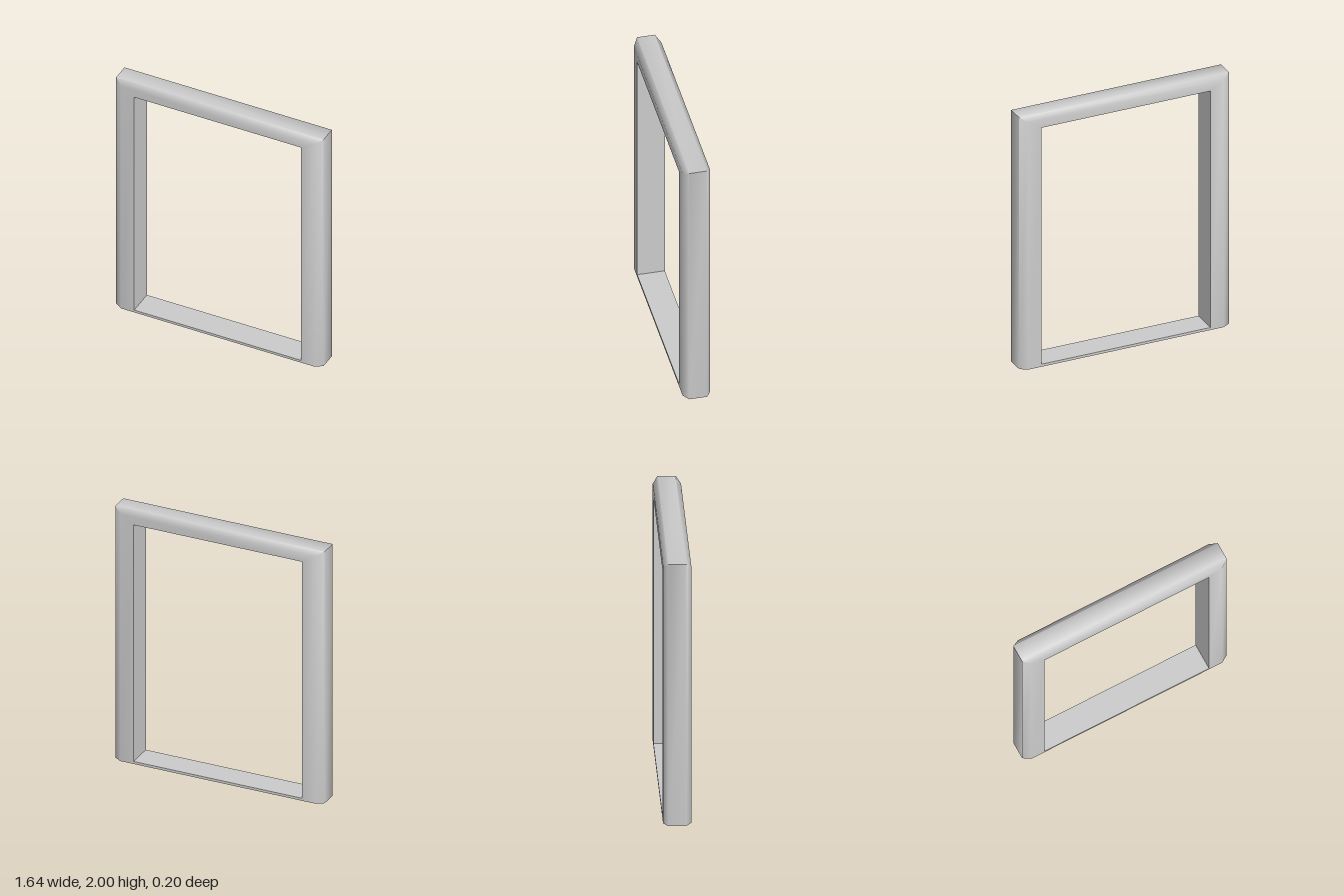
import * as THREE from 'three';
import { toCreasedNormals } from 'three/addons/utils/BufferGeometryUtils.js';

const DEPTH = 0.1;      // half depth of the frame
const INNER_X = 0.66;   // half width of the opening

// Section of the frame: half width, height under the lintel, depth
const SECTION = [
  [INNER_X, 1.9, -DEPTH], [INNER_X, 1.9, DEPTH],
  [0.765, 1.965, DEPTH], [0.82, 2, 0.065],
  [0.82, 2, -0.065], [0.765, 1.965, -DEPTH],
];

// Sweep the section up one post, across the lintel and down the other post
function archGeometry() {
  const stations = [[1, 0], [1, 1], [-1, 1], [-1, 0]];
  const n = SECTION.length;
  const positions = [], index = [];
  for (const [sx, sy] of stations) {
    for (const [x, y, z] of SECTION) positions.push(sx * x, sy * y, z);
  }
  for (let k = 0; k < 3; k++) {
    for (let j = 0; j < n; j++) {
      const a = k * n + j, b = k * n + (j + 1) % n;
      index.push(a, b, b + n, a, b + n, a + n);
    }
  }
  // Flat feet of the two posts
  for (let j = 1; j < n - 1; j++) {
    index.push(0, j + 1, j, 3 * n, 3 * n + j, 3 * n + j + 1);
  }
  const geometry = new THREE.BufferGeometry();
  geometry.setAttribute('position', new THREE.Float32BufferAttribute(positions, 3));
  geometry.setIndex(index);
  return toCreasedNormals(geometry, 1.1);
}

export function createModel() {
  const group = new THREE.Group();
  group.name = 'doorFrame';
  const material = new THREE.MeshStandardMaterial({ color: 0xcccccc });

  // Posts and lintel with bevelled outer edges
  const arch = new THREE.Mesh(archGeometry(), material);
  arch.name = 'postsAndLintel';
  group.add(arch);

  // Thin sill between the posts
  const sill = new THREE.Mesh(new THREE.BoxGeometry(2 * INNER_X, 0.02, 2 * DEPTH), material);
  sill.name = 'sill';
  sill.position.y = 0.01;
  group.add(sill);

  return group;
}
